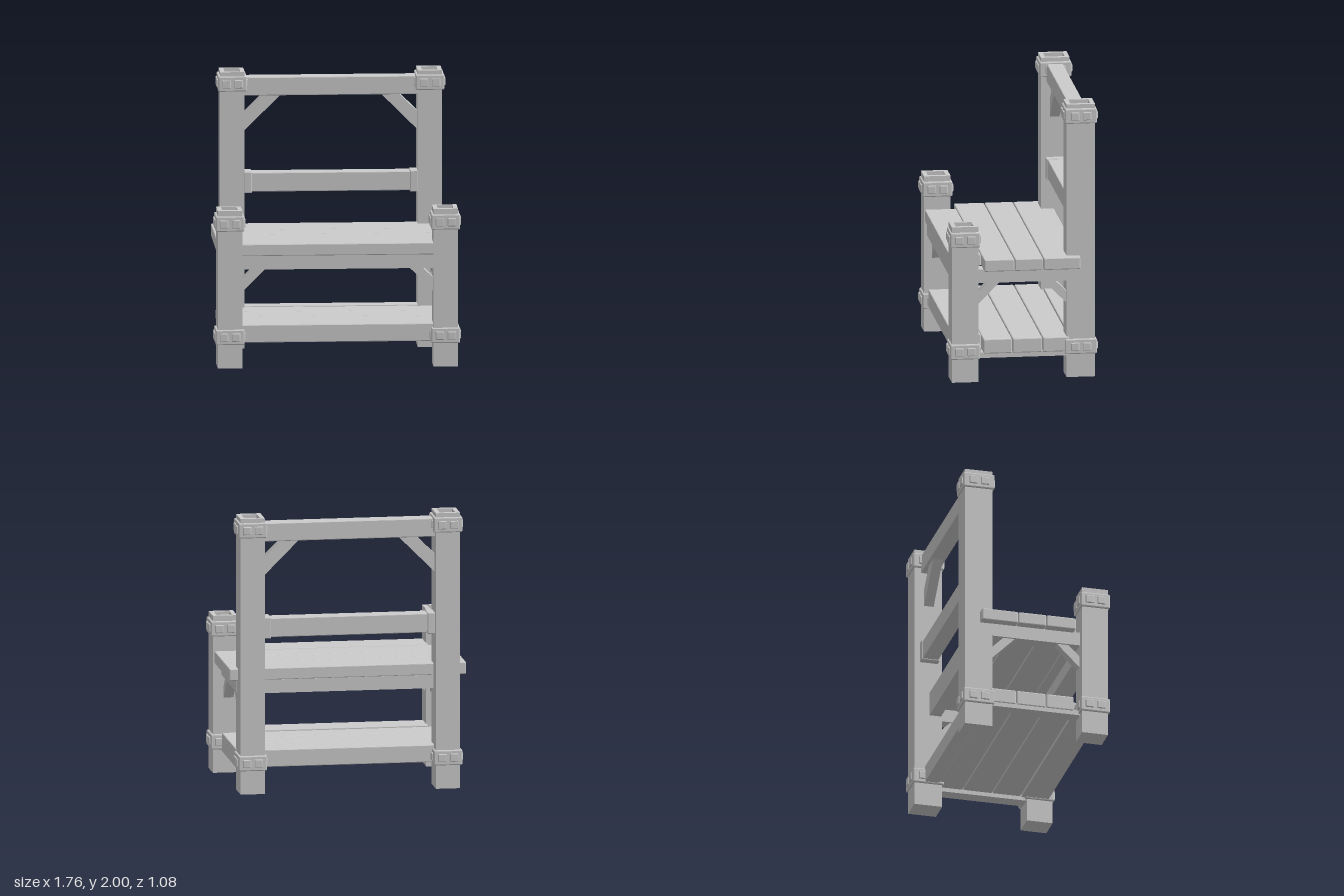
import * as THREE from 'three';
import { RoundedBoxGeometry } from 'three/addons/geometries/RoundedBoxGeometry.js';

const material = new THREE.MeshStandardMaterial({ color: 0xcccccc, flatShading: true });

function addMesh(parent, name, geometry) {
  const mesh = new THREE.Mesh(geometry, material);
  mesh.name = name;
  parent.add(mesh);
  return mesh;
}

// Box given by its min and max on each axis, with an optional small chamfer
function block(parent, name, [x0, x1], [y0, y1], [z0, z1], chamfer = 0) {
  const size = [x1 - x0, y1 - y0, z1 - z0];
  const geometry = chamfer
    ? new RoundedBoxGeometry(...size, 1, chamfer)
    : new THREE.BoxGeometry(...size);
  const mesh = addMesh(parent, name, geometry);
  mesh.position.set((x0 + x1) / 2, (y0 + y1) / 2, (z0 + z1) / 2);
  return mesh;
}

// Metal-style band with two square studs on each of its four faces
function band(parent, y, w, d) {
  const group = new THREE.Group();
  group.name = 'postBand';
  group.position.y = y;
  parent.add(group);
  const hw = w / 2 + 0.015, hd = d / 2 + 0.012;
  block(group, 'bandCollar', [-hw, hw], [-0.055, 0.055], [-hd, hd], 0.008);
  for (const side of [-1, 1]) {
    for (const offset of [-0.043, 0.043]) {
      const frontStud = addMesh(group, 'bandStud', new RoundedBoxGeometry(0.06, 0.058, 0.02, 1, 0.005));
      frontStud.position.set(offset, 0, side * hd);
      const sideStud = addMesh(group, 'bandStud', new RoundedBoxGeometry(0.02, 0.058, 0.06, 1, 0.005));
      sideStud.position.set(side * hw, 0, offset);
    }
  }
}

// Square post with a recessed top and bands
function post(parent, name, x, z, w, d, height, bandHeights) {
  const group = new THREE.Group();
  group.name = name;
  group.position.set(x, 0, z);
  parent.add(group);
  const recess = 0.035;
  block(group, 'postShaft', [-w / 2, w / 2], [0, height - recess], [-d / 2, d / 2]);

  const rim = new THREE.Shape();
  rim.moveTo(-w / 2, -d / 2).lineTo(w / 2, -d / 2).lineTo(w / 2, d / 2).lineTo(-w / 2, d / 2).closePath();
  const hole = new THREE.Path();
  const a = w / 2 - 0.032, b = d / 2 - 0.032;
  hole.moveTo(-a, -b).lineTo(-a, b).lineTo(a, b).lineTo(a, -b).closePath();
  rim.holes.push(hole);
  const geometry = new THREE.ExtrudeGeometry(rim, { depth: recess, bevelEnabled: false });
  geometry.rotateX(-Math.PI / 2);
  addMesh(group, 'postRim', geometry).position.y = height - recess;

  for (const y of bandHeights) band(group, y, w, d);
}

// Diagonal brace in the corner under a rail; runs along +x before turning
function brace(parent, name, outer, inner, depth, position, turn = 0) {
  const shape = new THREE.Shape();
  shape.moveTo(0, -inner).lineTo(0, -outer).lineTo(outer, 0).lineTo(inner, 0).closePath();
  const geometry = new THREE.ExtrudeGeometry(shape, { depth, bevelEnabled: false });
  geometry.translate(0, 0, -depth / 2);
  const mesh = addMesh(parent, name, geometry);
  mesh.position.set(...position);
  mesh.rotation.y = turn;
}

export function createModel() {
  const model = new THREE.Group();
  model.name = 'bench';

  // Posts, side rails and corner braces, mirrored left and right
  for (const s of [-1, 1]) {
    post(model, 'frontPost', s * 0.77, 0.415, 0.175, 0.19, 1.14, [0.225, 1.045]);
    post(model, 'backPost', s * 0.705, -0.425, 0.175, 0.205, 2, [0.225, 1.915]);

    const x = s * 0.745;
    block(model, 'sideSeatRail', [x - 0.05, x + 0.05], [0.71, 0.81], [-0.34, 0.34]);
    block(model, 'sideShelfRail', [x - 0.05, x + 0.05], [0.16, 0.2], [-0.34, 0.34]);
    brace(model, 'sideBrace', 0.165, 0.08, 0.07, [x, 0.71, 0.32], Math.PI / 2);
    brace(model, 'sideBrace', 0.165, 0.08, 0.07, [x, 0.71, -0.322], -Math.PI / 2);

    const turn = s < 0 ? 0 : Math.PI;
    brace(model, 'frontBrace', 0.17, 0.075, 0.07, [s * 0.683, 0.71, 0.42], turn);
    brace(model, 'backrestBrace', 0.26, 0.13, 0.07, [s * 0.618, 1.825, -0.42], turn);

    // Cleat holding the end of the middle backrest rail
    const c = s * 0.592;
    block(model, 'railCleat', [c - 0.028, c + 0.028], [1.118, 1.272], [-0.487, -0.353], 0.006);
  }

  // Seat: front board between the posts, then three long planks
  block(model, 'seatFrontBoard', [-0.69, 0.69], [0.81, 0.895], [0.28, 0.505], 0.006);
  for (const [z0, z1] of [[0.06, 0.275], [-0.147, 0.055], [-0.415, -0.152]]) {
    block(model, 'seatPlank', [-0.855, 0.855], [0.805, 0.892], [z0, z1], 0.007);
  }
  block(model, 'frontSeatRail', [-0.69, 0.69], [0.71, 0.812], [0.35, 0.49]);
  block(model, 'backSeatRail', [-0.63, 0.63], [0.71, 0.807], [-0.415, -0.33]);

  // Lower shelf: planks framed by a front and a back rail
  for (const [z0, z1] of [[0.07, 0.275], [-0.147, 0.065], [-0.34, -0.152]]) {
    block(model, 'shelfPlank', [-0.8, 0.8], [0.19, 0.298], [z0, z1], 0.008);
  }
  block(model, 'frontShelfRail', [-0.69, 0.69], [0.18, 0.308], [0.28, 0.48], 0.006);
  block(model, 'backShelfRail', [-0.63, 0.63], [0.18, 0.305], [-0.45, -0.343], 0.006);

  // Backrest rails
  block(model, 'topBackrestRail', [-0.63, 0.63], [1.822, 1.955], [-0.478, -0.362], 0.006);
  block(model, 'middleBackrestRail', [-0.63, 0.63], [1.127, 1.265], [-0.478, -0.362], 0.006);

  return model;
}
